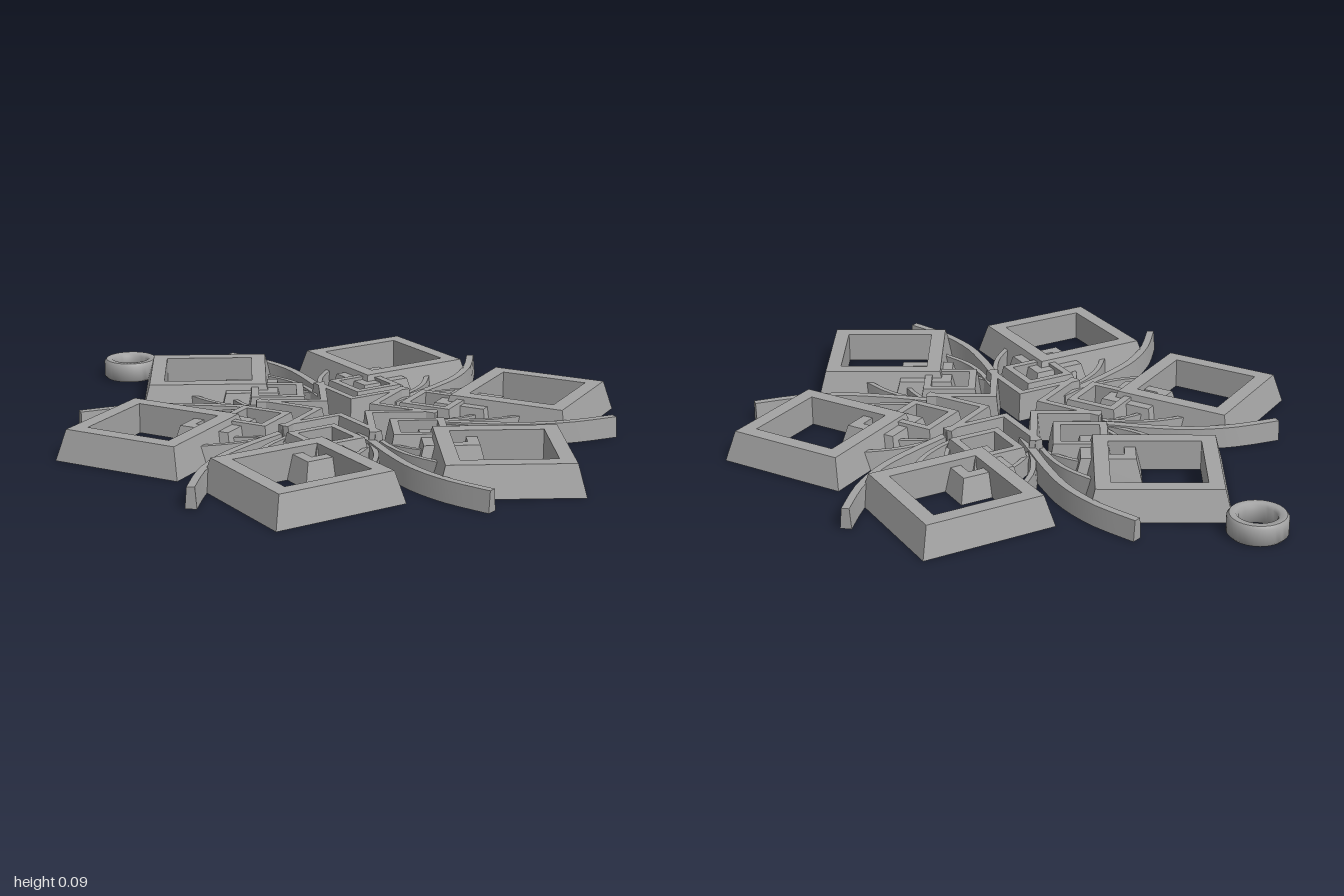
import * as THREE from 'three';
import { toCreasedNormals } from 'three/addons/utils/BufferGeometryUtils.js';

const CENTRE_Z = 0.085;

// Square frame with sloped outer walls, corners on the x and z axes
function diamond(hole, base, top, h) {
  const profile = [[hole, 0], [base, 0], [top, h], [hole, h], [hole, 0]]
    .map(([r, y]) => new THREE.Vector2(r, y));
  return toCreasedNormals(new THREE.LatheGeometry(profile, 4), 0.5);
}

// Trapezoid bar swept along a flat path of [x, z] points with mitred corners
function bar(path, base, top, h, taper = 1) {
  const pos = [], index = [], n = path.length;
  const dir = (a, b) => new THREE.Vector2(b[0] - a[0], b[1] - a[1]).normalize();
  path.forEach((p, i) => {
    const d0 = dir(path[Math.max(i - 1, 0)], path[Math.max(i, 1)]);
    const d1 = dir(path[Math.min(i, n - 2)], path[Math.min(i + 1, n - 1)]);
    const d = d0.clone().add(d1).normalize();
    const k = (1 + (taper - 1) * i / (n - 1)) / d.dot(d0);
    for (const [w, y] of [[-base, 0], [base, 0], [top, h], [-top, h]])
      pos.push(p[0] + d.y * w * k, y, p[1] - d.x * w * k);
    if (i === n - 1) return;
    for (let j = 0; j < 4; j++) {
      const a = i * 4 + j, b = i * 4 + (j + 1) % 4;
      index.push(a, b, b + 4, a, b + 4, a + 4);
    }
  });
  const e = (n - 1) * 4;
  index.push(0, 2, 1, 0, 3, 2, e, e + 1, e + 2, e, e + 2, e + 3);
  const g = new THREE.BufferGeometry();
  g.setAttribute('position', new THREE.Float32BufferAttribute(pos, 3));
  g.setIndex(index);
  return toCreasedNormals(g, 0.5);
}

// Smooth curve through a few [x, z] points
function curve(points, steps = 16) {
  const c = new THREE.SplineCurve(points.map(([x, z]) => new THREE.Vector2(x, z)));
  return c.getPoints(steps).map(p => [p.x, p.y]);
}

export function createModel() {
  const model = new THREE.Group();
  model.name = 'snowflakePendant';
  const grey = new THREE.MeshStandardMaterial({ color: 0xa3a3a3 });
  grey.name = 'grey';

  const add = (parent, name, geometry, z = 0) => {
    const mesh = new THREE.Mesh(geometry, grey);
    mesh.name = name;
    mesh.position.z = z;
    parent.add(mesh);
  };

  const flake = new THREE.Group();
  flake.name = 'snowflake';
  flake.position.z = CENTRE_Z;
  model.add(flake);

  // Shared shapes of the six arms
  const bigFrame = diamond(0.2, 0.3, 0.265, 0.095);
  const middleFrame = diamond(0.07, 0.145, 0.118, 0.075);
  const innerFrame = diamond(0.085, 0.14, 0.118, 0.085);
  const chevron = bar([[-0.15, 0.2425], [0, 0.0925], [0.15, 0.2425]], 0.02, 0.011, 0.09);

  // Curved stems in the gaps, running along +x
  const longStem = bar(curve([[0.2, 0.02], [0.32, 0.012], [0.43, 0.004],
    [0.56, -0.017], [0.69, -0.07], [0.815, -0.155]]), 0.019, 0.013, 0.065, 0.9);
  const sideStems = [-1, 1].flatMap(s => [
    bar(curve([[0.22, 0.015 * s], [0.34, 0.025 * s], [0.44, 0.055 * s], [0.54, 0.12 * s]], 10),
      0.013, 0.008, 0.06),
    bar(curve([[0.24, -0.01 * s], [0.3, 0.03 * s], [0.36, 0.08 * s], [0.42, 0.15 * s]], 10),
      0.011, 0.007, 0.055),
  ]);

  for (let i = 0; i < 6; i++) {
    const arm = new THREE.Group();
    arm.name = 'arm' + (i + 1);
    arm.rotation.y = i * Math.PI / 3 + Math.PI / 6 - Math.PI / 6;
    add(arm, 'bigFrame', bigFrame, 0.61);
    add(arm, 'middleFrame', middleFrame, 0.41);
    add(arm, 'innerFrame', innerFrame, 0.295);
    add(arm, 'chevron', chevron);
    add(arm, 'longStem', longStem);
    sideStems.forEach(g => add(arm, 'sideStem', g));
    flake.add(arm);
  }

  // Hanging ring behind the rear arm, with softened edges
  const ringProfile = [[0.056, 0.008], [0.064, 0], [0.083, 0], [0.09, 0.008],
    [0.09, 0.055], [0.083, 0.064], [0.064, 0.064], [0.056, 0.055], [0.056, 0.008]]
    .map(([r, y]) => new THREE.Vector2(r, y));
  add(model, 'hangingRing', toCreasedNormals(new THREE.LatheGeometry(ringProfile, 40), 0.9), -0.91);

  return model;
}
